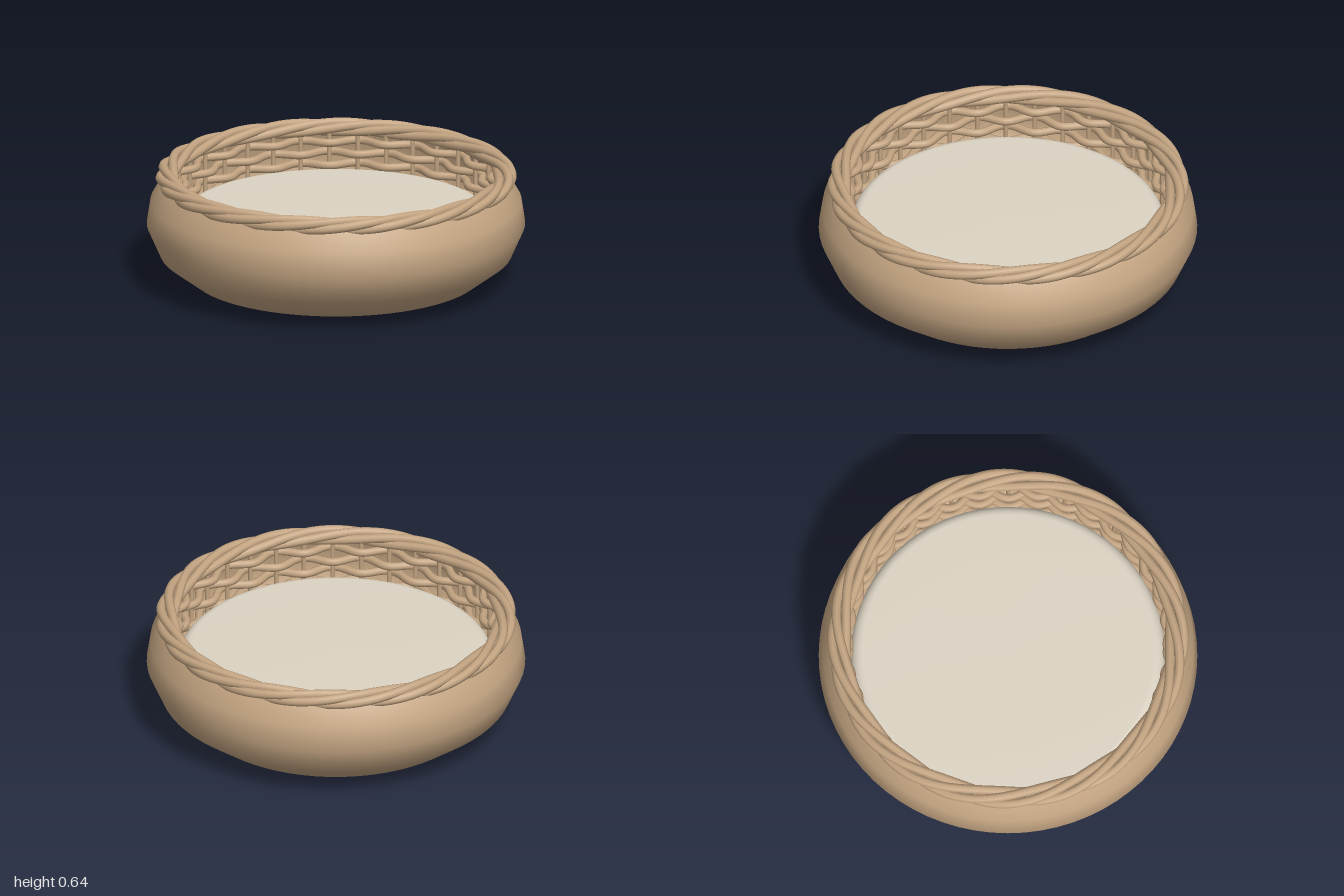
import * as THREE from 'three';

const wicker = new THREE.MeshStandardMaterial({ color: 0xc4a582 });
const fabric = new THREE.MeshStandardMaterial({ color: 0xdcd4c4 });
const STAKES = 36;

function lathe(name, profile, material, segments = 72) {
  const points = profile.map(([r, y]) => new THREE.Vector2(r, y));
  const mesh = new THREE.Mesh(new THREE.LatheGeometry(points, segments), material);
  mesh.name = name;
  return mesh;
}

// Closed ring-shaped tube; at(angle) gives [radius, height]
function ringStrand(name, at, thickness, segments) {
  const curve = new THREE.Curve();
  curve.getPoint = (t, target = new THREE.Vector3()) => {
    const a = t * Math.PI * 2;
    const [r, y] = at(a);
    return target.set(r * Math.sin(a), y, r * Math.cos(a));
  };
  curve.arcLengthDivisions = 1000;
  const mesh = new THREE.Mesh(new THREE.TubeGeometry(curve, segments, thickness, 8, true), wicker);
  mesh.name = name;
  return mesh;
}

export function createModel() {
  const basket = new THREE.Group();
  basket.name = 'basket';

  // Rounded bowl: outer wall up, over the lip, inner wall down to the floor
  basket.add(lathe('bowl', [
    [0, 0], [0.51, 0], [0.77, 0.05], [0.93, 0.17], [1, 0.33], [0.98, 0.46], [0.915, 0.57],
    [0.9, 0.57], [0.935, 0.5], [0.95, 0.4], [0.94, 0.3], [0.86, 0.18], [0.74, 0.08], [0, 0.06],
  ], wicker));

  // Twisted rim of four strands
  const rim = new THREE.Group();
  rim.name = 'rim';
  for (let k = 0; k < 4; k++) {
    rim.add(ringStrand('rimStrand', (a) => {
      const p = 5 * a + k * Math.PI / 2;
      return [0.892 + 0.037 * Math.cos(p), 0.588 + 0.024 * Math.sin(p)];
    }, 0.025, 240));
  }
  basket.add(rim);

  // Upright stakes lining the inside
  const stakes = new THREE.Group();
  stakes.name = 'stakes';
  const stakeGeometry = new THREE.CylinderGeometry(0.012, 0.012, 0.34, 8);
  for (let i = 0; i < STAKES; i++) {
    const a = i / STAKES * Math.PI * 2;
    const stake = new THREE.Mesh(stakeGeometry, wicker);
    stake.name = 'stake';
    stake.position.set(0.872 * Math.sin(a), 0.41, 0.872 * Math.cos(a));
    stakes.add(stake);
  }
  basket.add(stakes);

  // Woven rows passing alternately in front of and behind the stakes
  const weave = new THREE.Group();
  weave.name = 'weave';
  for (let row = 0; row < 5; row++) {
    const side = row % 2 ? -1 : 1;
    weave.add(ringStrand('weaveRow',
      (a) => [0.87 - side * 0.032 * Math.cos(a * STAKES / 2), 0.515 - row * 0.062], 0.022, 288));
  }
  basket.add(weave);

  // Cushion with a rounded edge
  const edge = [];
  for (let i = 0; i <= 8; i++) {
    const a = i / 8 * Math.PI / 2;
    edge.push([0.77 + 0.06 * Math.cos(a), 0.33 + 0.06 * Math.sin(a)]);
  }
  basket.add(lathe('cushion', [[0, 0.09], [0.72, 0.09], [0.81, 0.18], ...edge, [0.5, 0.394], [0, 0.396]], fabric));

  return basket;
}
